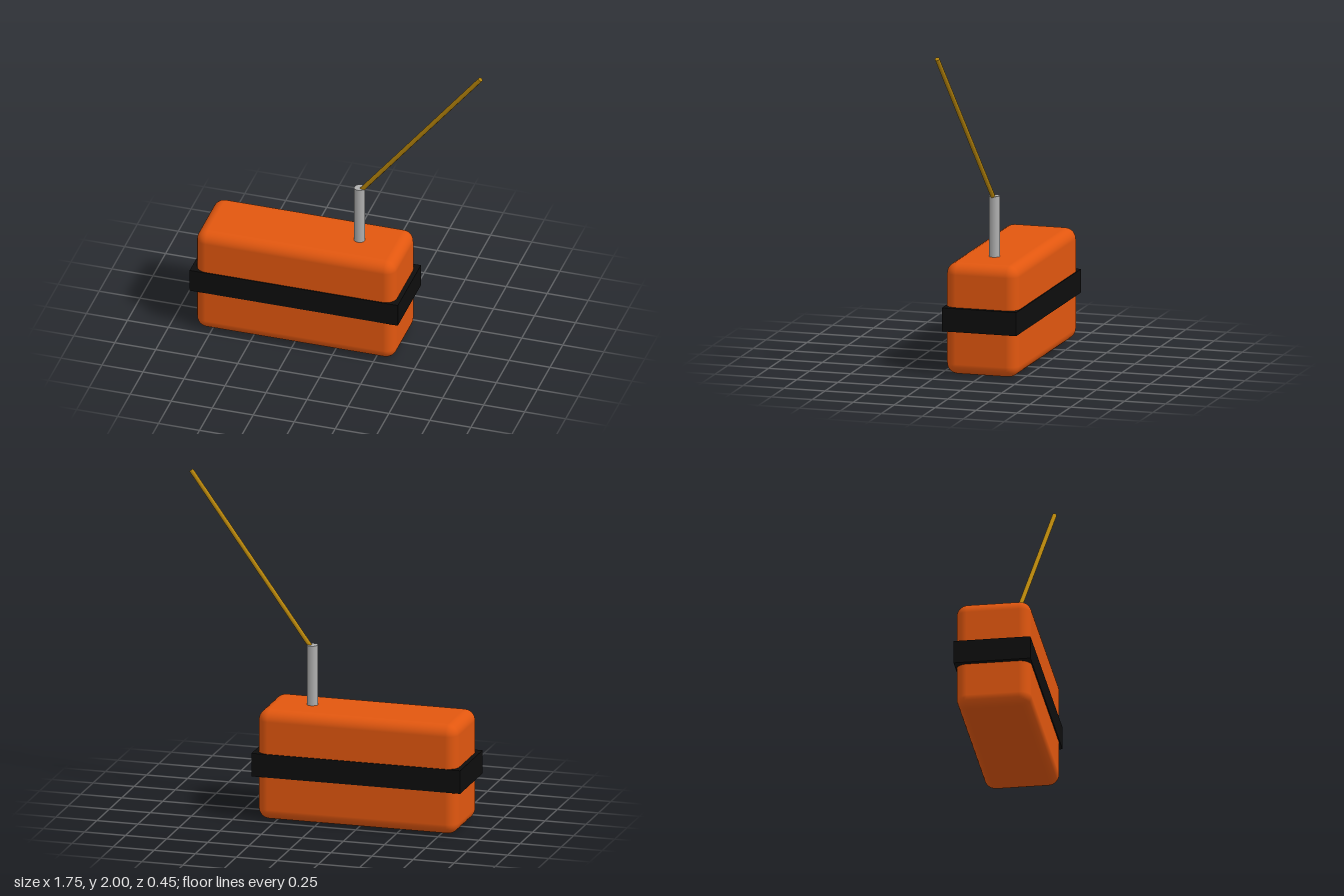
import * as THREE from 'three';
import { RoundedBoxGeometry } from 'three/addons/geometries/RoundedBoxGeometry.js';

function material(name, color) {
  const m = new THREE.MeshStandardMaterial({ color });
  m.name = name;
  return m;
}

export function createModel() {
  const group = new THREE.Group();
  const orange = material('orange', 0xe2570f);
  const black = material('black', 0x0d0d0d);
  const steel = material('steel', 0xb0b0b0);
  const brass = material('brass', 0xb8860b);

  const add = (name, geometry, mat, x, y, z) => {
    const mesh = new THREE.Mesh(geometry, mat);
    mesh.name = name;
    mesh.position.set(x, y, z);
    group.add(mesh);
    return mesh;
  };

  // Rounded float body with a square-edged band around its middle
  add('body', new RoundedBoxGeometry(1.216, 0.664, 0.44, 4, 0.066), orange, -0.243, 0.332, 0);
  add('band', new THREE.BoxGeometry(1.27, 0.14, 0.453), black, -0.243, 0.334, 0);

  // Upright post, its foot sunk into the body
  add('post', new THREE.CylinderGeometry(0.033, 0.033, 0.425, 12), steel, 0.089, 0.8125, 0);

  // Slanted whip rod rising from the post
  const start = new THREE.Vector3(0.089, 0.998, 0);
  const end = new THREE.Vector3(0.86, 1.99, 0.109);
  const axis = end.clone().sub(start);
  const mid = start.clone().add(end).multiplyScalar(0.5);
  const rod = add('rod', new THREE.CylinderGeometry(0.014, 0.014, axis.length(), 8), brass, mid.x, mid.y, mid.z);
  rod.quaternion.setFromUnitVectors(new THREE.Vector3(0, 1, 0), axis.normalize());

  return group;
}
